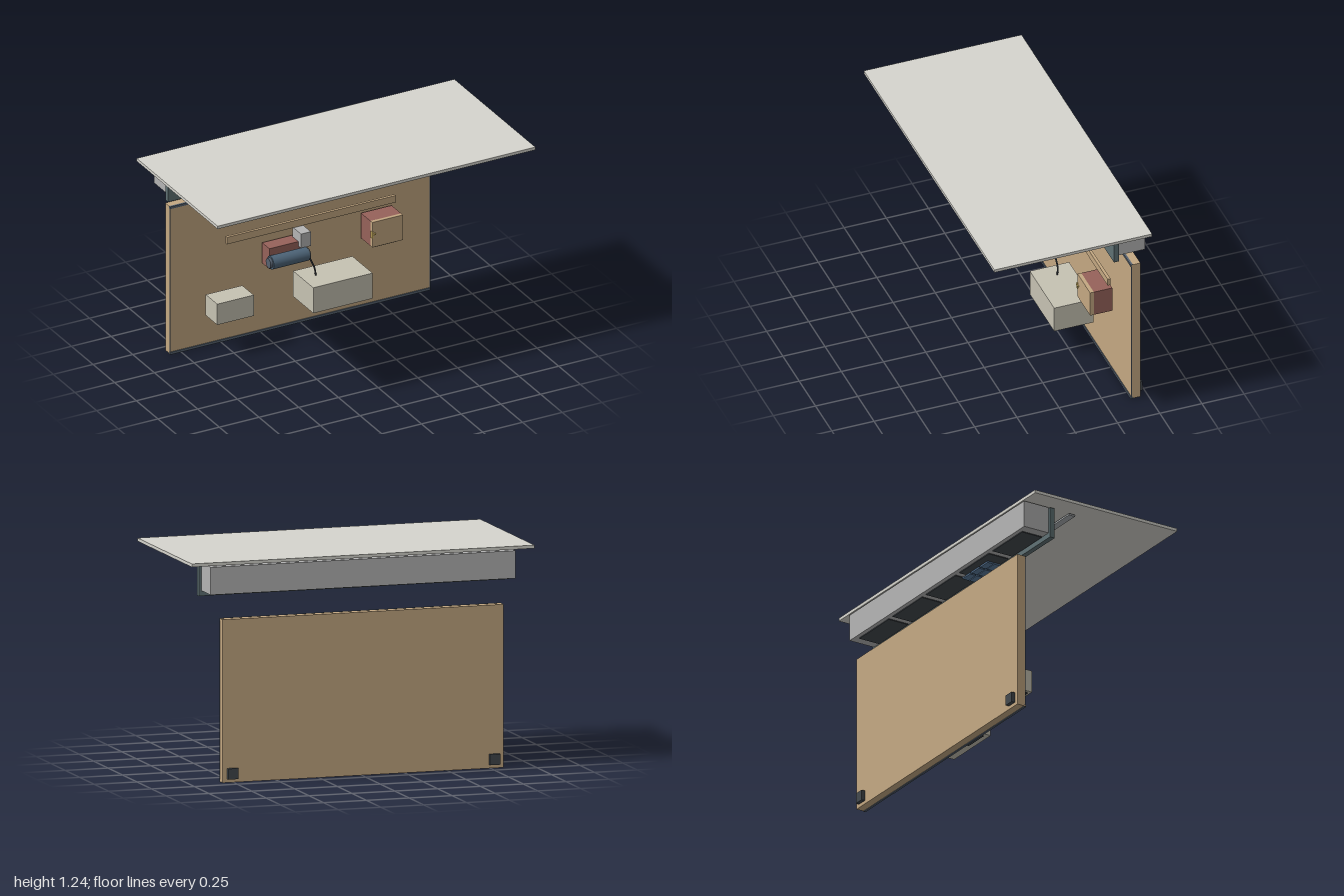
import * as THREE from 'three';

const mat = (color) => new THREE.MeshStandardMaterial({ color });
const M = {
  roof: mat(0xd6d5ce), wood: mat(0xc4a882), teal: mat(0x5f7174), grey: mat(0xb4b4b4),
  red: mat(0x96625a), beige: mat(0xc6c2b2), dark: mat(0x42484d), blue: mat(0x4d6478),
  button: mat(0x5a7a9c), yellow: mat(0xd9bd6a), lamp: mat(0xa9adb0), trim: mat(0x566270),
};

export function createModel() {
  const root = new THREE.Group();

  const add = (name, geometry, material, x = 0, y = 0, z = 0) => {
    const mesh = new THREE.Mesh(geometry, material);
    mesh.name = name;
    mesh.position.set(x, y, z);
    root.add(mesh);
    return mesh;
  };
  // Box given by its extents along each axis
  const box = (name, m, [x0, x1], [y0, y1], [z0, z1]) =>
    add(name, new THREE.BoxGeometry(x1 - x0, y1 - y0, z1 - z0), m,
      (x0 + x1) / 2, (y0 + y1) / 2, (z0 + z1) / 2);

  // Canopy: slab, rear housing and front fascia
  box('roofSlab', M.roof, [-1, 1], [1.222, 1.24], [-0.455, 0.48]);
  box('housing', M.grey, [-0.89, 0.89], [1.06, 1.215], [-0.455, -0.295]);
  box('fascia', M.teal, [-0.905, 0.905], [1.03, 1.21], [-0.295, -0.265]);

  // Thin panels and a group of keys under the housing
  for (let i = -2; i <= 2; i++) {
    const x = i * 0.34;
    box('bottomPanel', M.dark, [x - 0.15, x + 0.15], [1.055, 1.06], [-0.43, -0.3]);
  }
  for (let col = 0; col < 3; col++) {
    for (const z of [-0.32, -0.365]) {
      const x = -0.37 + col * 0.09;
      box('key', M.button, [x - 0.039, x + 0.039], [1.046, 1.055], [z - 0.02, z + 0.02]);
    }
  }

  // Light rail with five lamps
  box('lightRail', M.lamp, [-0.89, 0.89], [1.204, 1.214], [-0.16, -0.12]);
  for (let i = -2; i <= 2; i++) {
    const x = i * 0.245;
    const lamp = add('lamp', new THREE.CylinderGeometry(0.046, 0.03, 0.01, 24), M.lamp, x, 1.199, -0.14);
    lamp.scale.z = 0.42;
    box('lampLens', M.dark, [x - 0.012, x + 0.012], [1.187, 1.194], [-0.145, -0.135]);
  }

  // Back wall with edge trims and rear blocks
  box('wall', M.wood, [-0.82, 0.82], [0.004, 0.918], [-0.455, -0.403]);
  box('topTrim', M.trim, [-0.82, 0.82], [0.905, 0.919], [-0.41, -0.398]);
  box('bottomTrim', M.trim, [-0.82, 0.82], [0, 0.015], [-0.41, -0.398]);
  for (const s of [-1, 1]) {
    const x = s * 0.764;
    box('sideTrim', M.trim, [s * 0.818 - 0.003, s * 0.818 + 0.003], [0.015, 0.905], [-0.406, -0.401]);
    box('rearBlock', M.dark, [x - 0.03, x + 0.03], [0.024, 0.084], [-0.476, -0.455]);
  }

  // Shelf strip
  box('shelf', M.wood, [-0.487, 0.577], [0.624, 0.667], [-0.372, -0.355]);

  // Cabinet with a door, knob and foot plates
  box('cabinet', M.red, [0.374, 0.567], [0.438, 0.593], [-0.386, -0.277]);
  box('cabinetDoor', M.wood, [0.374, 0.567], [0.438, 0.593], [-0.277, -0.255]);
  box('doorKnob', M.yellow, [0.37, 0.394], [0.515, 0.524], [-0.257, -0.248]);
  box('doorHinge', M.yellow, [0.37, 0.38], [0.495, 0.535], [-0.27, -0.251]);
  box('cabinetFoot', M.dark, [0.4, 0.54], [0.432, 0.438], [-0.372, -0.307]);
  box('cabinetFrontFoot', M.dark, [0.4, 0.54], [0.43, 0.438], [-0.298, -0.267]);

  // Motor: mount, drum, end caps and junction box
  box('motorMount', M.red, [-0.246, -0.05], [0.433, 0.56], [-0.39, -0.305]);
  const tube = (name, r, x0, x1, m) => {
    const c = add(name, new THREE.CylinderGeometry(r, r, x1 - x0, 32), m, (x0 + x1) / 2, 0.497, -0.262);
    c.rotation.z = Math.PI / 2;
  };
  tube('motorDrum', 0.039, -0.262, -0.035, M.blue);
  tube('motorLeftCap', 0.029, -0.277, -0.262, M.trim);
  tube('motorRightCap', 0.034, -0.035, -0.025, M.dark);
  box('junctionBox', M.grey, [-0.064, -0.002], [0.532, 0.62], [-0.375, -0.275]);

  // Cable from the motor down to the large box
  const path = new THREE.CatmullRomCurve3([
    [-0.03, 0.49, -0.265], [-0.018, 0.47, -0.266], [0.005, 0.425, -0.272],
    [0.022, 0.385, -0.274], [0.026, 0.34, -0.268],
  ].map((p) => new THREE.Vector3(...p)));
  add('cable', new THREE.TubeGeometry(path, 24, 0.005, 8), M.dark);

  // Large box with base plates and wall bracket
  box('largeBox', M.beige, [-0.06, 0.313], [0.188, 0.346], [-0.373, -0.14]);
  box('largeBoxBase', M.dark, [-0.04, 0.11], [0.182, 0.188], [-0.328, -0.175]);
  box('largeBoxVent', M.dark, [0.16, 0.28], [0.178, 0.188], [-0.27, -0.205]);
  for (const x of [0.19, 0.25]) {
    box('ventFoot', M.dark, [x - 0.022, x + 0.022], [0.172, 0.178], [-0.265, -0.225]);
  }
  box('largeBoxBracket', M.dark, [0.06, 0.2], [0.3, 0.34], [-0.381, -0.373]);

  // Small box with base plate and feet
  box('smallBox', M.beige, [-0.617, -0.387], [0.213, 0.342], [-0.36, -0.227]);
  box('smallBoxBase', M.dark, [-0.6, -0.4], [0.207, 0.213], [-0.345, -0.245]);
  for (const x of [-0.57, -0.5, -0.43]) {
    add('smallBoxFoot', new THREE.CylinderGeometry(0.022, 0.022, 0.007, 20), M.dark, x, 0.204, -0.295);
  }

  return root;
}
